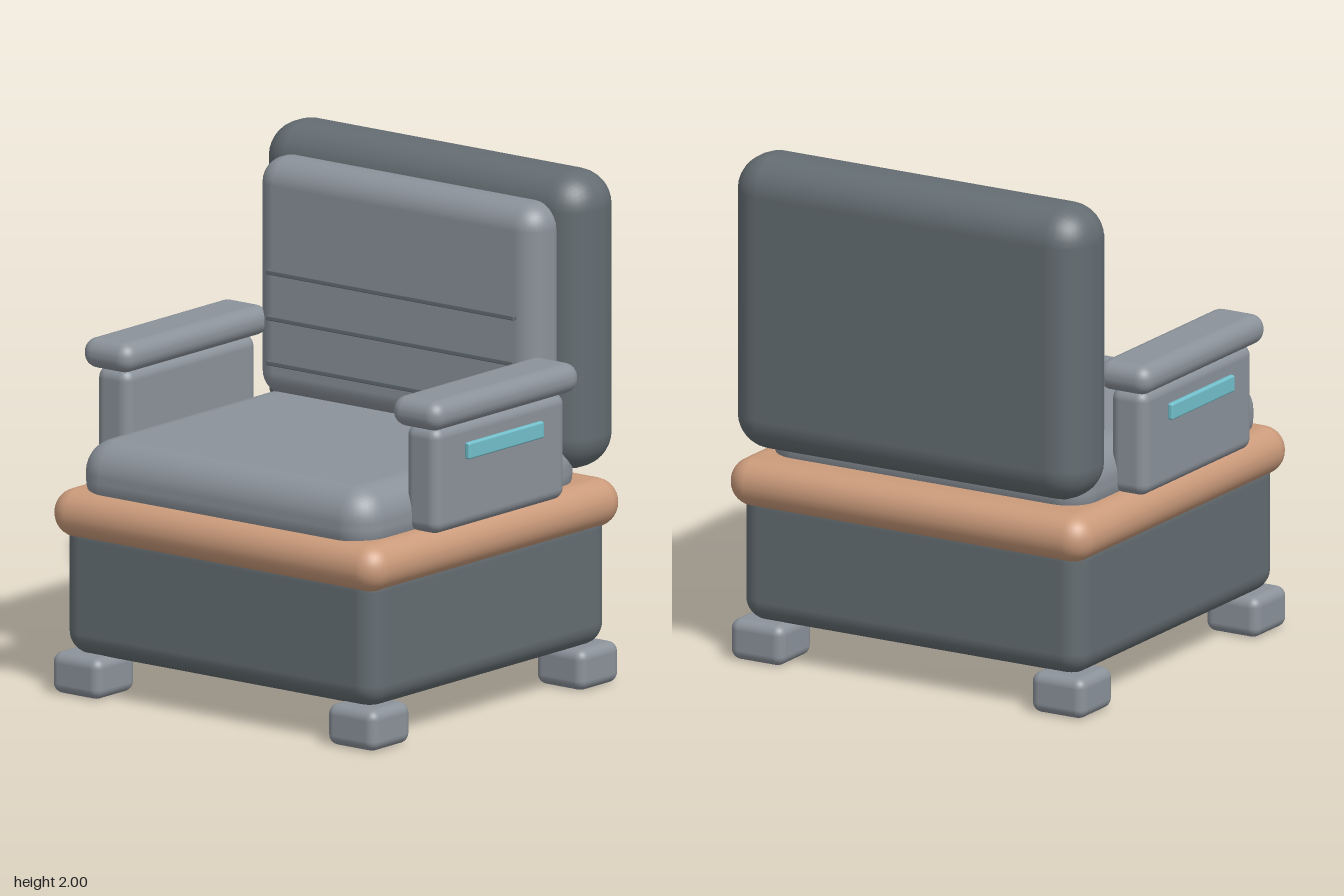
import * as THREE from 'three';
import { RoundedBoxGeometry } from 'three/addons/geometries/RoundedBoxGeometry.js';

export function createModel() {
  const model = new THREE.Group();
  model.name = 'armchair';

  const material = (name, color) => {
    const m = new THREE.MeshStandardMaterial({ color });
    m.name = name;
    return m;
  };
  const darkGrey = material('dark grey', 0x646d72);
  const lightGrey = material('light grey', 0x8b929a);
  const tan = material('tan', 0xcb9b7b);
  const teal = material('teal', 0x72c0cc);

  // Rounded block between two opposite corners
  function block(name, mat, [x0, y0, z0], [x1, y1, z1], radius, parent = model) {
    const geometry = new RoundedBoxGeometry(x1 - x0, y1 - y0, z1 - z0, 4, radius);
    const mesh = new THREE.Mesh(geometry, mat);
    mesh.position.set((x0 + x1) / 2, (y0 + y1) / 2, (z0 + z1) / 2);
    mesh.name = name;
    parent.add(mesh);
    return mesh;
  }

  // Base, trim and seat
  block('base', darkGrey, [-0.76, 0.155, -0.71], [0.76, 0.7, 0.73], 0.09);
  block('trim', tan, [-0.8, 0.61, -0.76], [0.8, 0.8, 0.775], 0.094);
  block('seatCushion', lightGrey, [-0.71, 0.71, -0.62], [0.71, 0.995, 0.72], 0.13);

  // Back shell and its cushion
  block('backrest', darkGrey, [-0.78, 0.84, -0.775], [0.78, 2, -0.465], 0.14);
  block('backCushion', lightGrey, [-0.685, 0.97, -0.55], [0.685, 1.9, -0.335], 0.1);

  // Seams across the back cushion
  for (const y of [1.115, 1.29, 1.468]) {
    block('backSeam', darkGrey, [-0.6, y - 0.009, -0.337], [0.6, y + 0.009, -0.313], 0.004);
  }

  for (const side of [-1, 1]) {
    // Each arm is laid out around its own centre line
    const arm = new THREE.Group();
    arm.name = side > 0 ? 'leftArm' : 'rightArm';
    arm.position.x = side * 0.75;
    block('armPanel', lightGrey, [-0.08, 0.795, -0.355], [0.08, 1.21, 0.435], 0.045, arm);
    block('armPad', lightGrey, [-0.118, 1.205, -0.403], [0.118, 1.322, 0.482], 0.056, arm);
    const outer = side * 0.09;
    block('armStripe', teal, [outer - 0.012, 1.065, -0.19], [outer + 0.012, 1.13, 0.265], 0.008, arm);
    model.add(arm);

    // Feet
    for (const z of [0.643, -0.617]) {
      const x = side * 0.668;
      block('foot', lightGrey, [x - 0.118, 0.005, z - 0.118], [x + 0.118, 0.165, z + 0.118], 0.04);
    }
  }

  return model;
}
